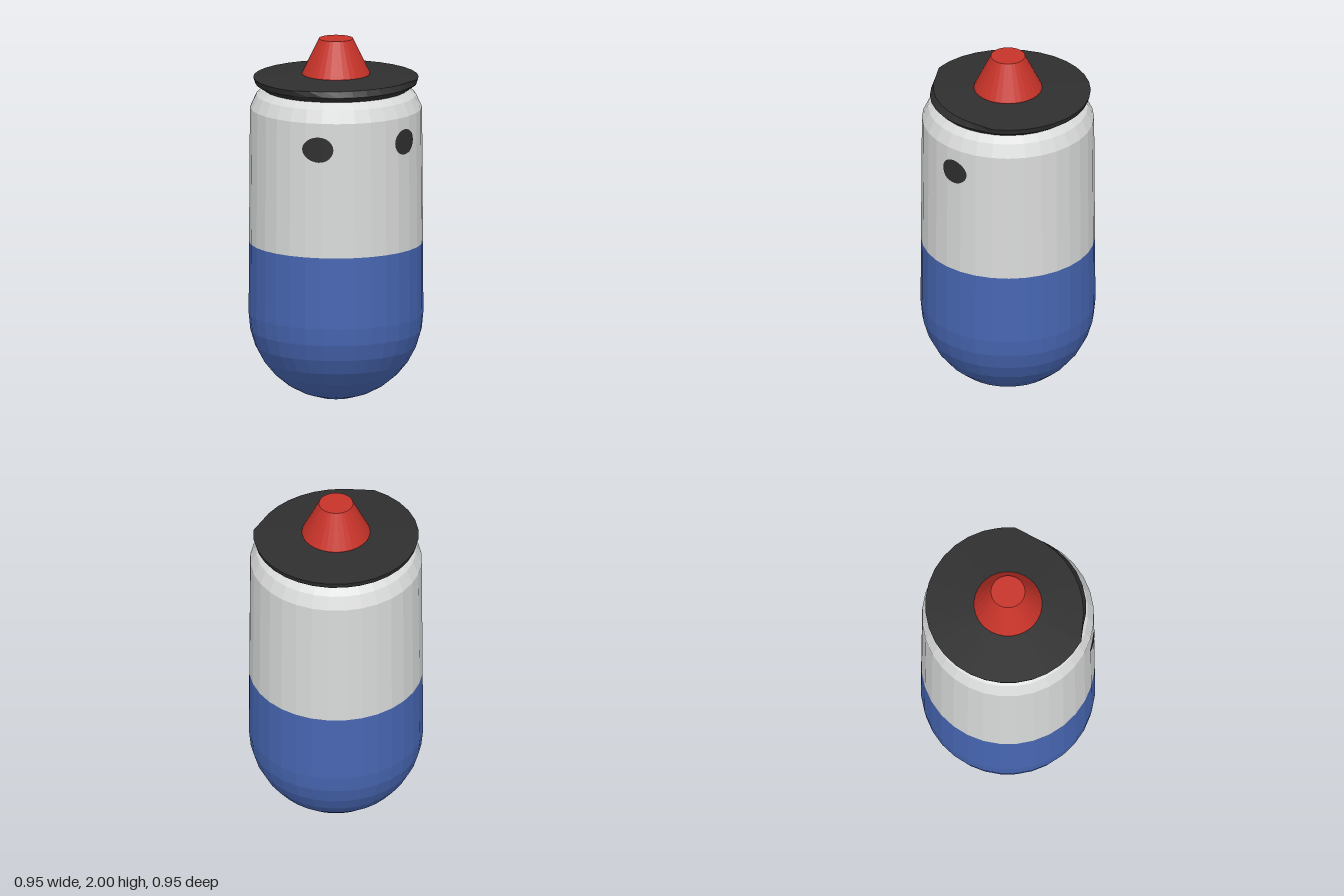
import * as THREE from 'three';

const SIDES = 32;

export function createModel() {
  const mat = (name, color) => {
    const m = new THREE.MeshStandardMaterial({ color, flatShading: true });
    m.name = name;
    return m;
  };
  const white = mat('white', 0xd9dbda);
  const blue = mat('blue', 0x4766b2);
  const black = mat('black', 0x2f2f2f);
  const red = mat('red', 0xc63329);

  const model = new THREE.Group();
  const add = (name, geometry, material) => {
    const mesh = new THREE.Mesh(geometry, material);
    mesh.name = name;
    model.add(mesh);
    return mesh;
  };
  const lathe = (points) =>
    new THREE.LatheGeometry(points.map(([r, y]) => new THREE.Vector2(r, y)), SIDES);

  // Lower body: hemisphere running into a straight wall
  const R = 0.475;
  const lower = [];
  for (let i = 0; i <= 8; i++) {
    const a = (i / 8) * Math.PI / 2;
    lower.push([R * Math.sin(a), R - R * Math.cos(a) + 0.005]);
  }
  lower.push([0.473, 0.875]);
  add('lowerBody', lathe(lower), blue);

  // Upper body with a bevelled shoulder
  add('upperBody', lathe([
    [0.473, 0.875], [0.468, 1.62], [0.435, 1.69], [0.395, 1.725], [0, 1.725],
  ]), white);

  // Hat brim: the rim is cut back across the front
  const brim = lathe([[0, 1.72], [0.39, 1.72], [0.44, 1.755], [0.45, 1.787], [0.185, 1.805], [0, 1.81]]);
  const p = brim.attributes.position;
  for (let i = 0; i < p.count; i++) {
    const x = p.getX(i), z = p.getZ(i), r = Math.hypot(x, z);
    const a = Math.abs(Math.atan2(x, z)) / (Math.PI / 4);
    if (r < 0.42 || a > 1.05) continue;
    const target = r > 0.445 ? 0.4 + 0.022 * a * a : 0.425;
    p.setX(i, x * target / r);
    p.setZ(i, z * target / r);
  }
  add('hatBrim', brim, black);

  // Hat cone
  add('hatCone', lathe([[0.187, 1.795], [0.185, 1.81], [0.093, 2], [0, 2]]), red);

  // Eyes: thin discs laid on the faceted wall
  const step = (2 * Math.PI) / SIDES;
  const wallZ = (x) => {
    const r = 0.469;
    const k = Math.floor(Math.asin(x / r) / step);
    const x0 = r * Math.sin(k * step), x1 = r * Math.sin((k + 1) * step);
    const z0 = r * Math.cos(k * step), z1 = r * Math.cos((k + 1) * step);
    return z0 + (z1 - z0) * (x - x0) / (x1 - x0);
  };
  for (const [name, x, y] of [['rightEye', -0.275, 1.475], ['leftEye', 0.223, 1.485]]) {
    const eye = new THREE.RingGeometry(0.0005, 0.07, 24, 8);
    eye.translate(x, y, 0);
    const e = eye.attributes.position;
    for (let i = 0; i < e.count; i++) e.setZ(i, wallZ(e.getX(i)) + 0.005);
    eye.computeVertexNormals();
    add(name, eye, black);
  }

  return model;
}
